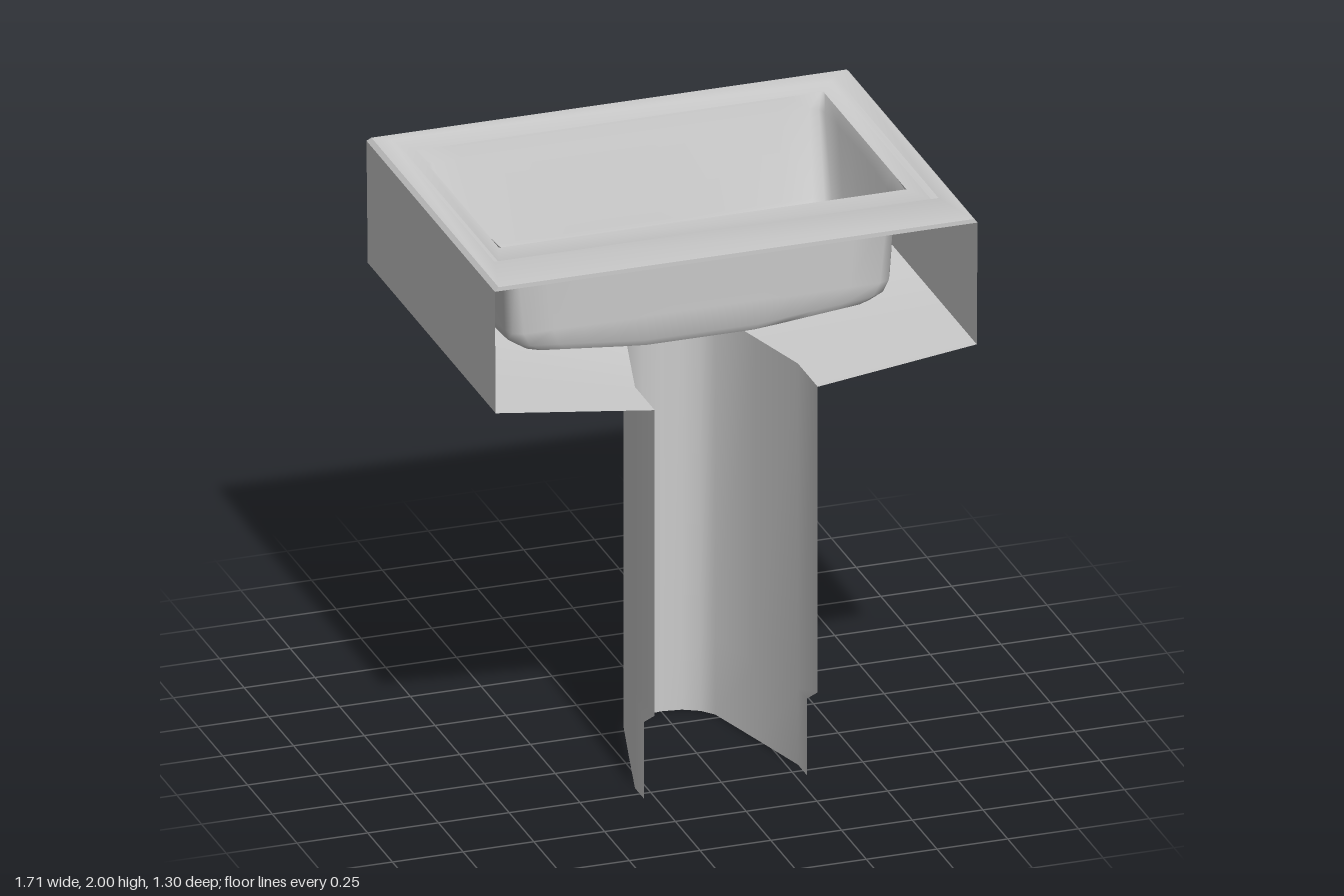
import * as THREE from 'three';
import { mergeVertices, toCreasedNormals } from 'three/addons/utils/BufferGeometryUtils.js';

const material = new THREE.MeshStandardMaterial({ color: 0xcccccc, side: THREE.DoubleSide });

// Skin a surface over rows of equally many [x, y, z] points.
function loft(name, rows, closed = false, crease = 0.7) {
  const n = rows[0].length;
  const index = [];
  for (let i = 0; i < rows.length - 1; i++) {
    for (let j = 0; j < (closed ? n : n - 1); j++) {
      const k = (j + 1) % n;
      const a = i * n + j, b = i * n + k, c = b + n, d = a + n;
      index.push(a, d, c, a, c, b);
    }
  }
  const geometry = new THREE.BufferGeometry();
  geometry.setAttribute('position', new THREE.Float32BufferAttribute(rows.flat(2), 3));
  geometry.setIndex(index);
  const mesh = new THREE.Mesh(toCreasedNormals(mergeVertices(geometry), crease), material);
  mesh.name = name;
  return mesh;
}

// Mirror a half path, given from the +x end to the centre, into a full path.
function mirror(half) {
  const left = half.map(([x, y, z]) => [-x, y, z]);
  return [...left, ...half.slice(0, -1).reverse()];
}

// Rectangular ring at height y.
const rect = (w, back, front, y) => [[-w, y, front], [-w, y, back], [w, y, back], [w, y, front]];

// Rounded ring: back and front half widths, z limits, corner radius, bulging sides.
function bowlRing(wBack, wFront, back, front, r, height) {
  const half = [];
  const mid = (back + front) / 2;
  for (let i = 0; i <= 6; i++) half.push([(wFront - r) * i / 6, front]);
  half.push([wFront - r * 0.3, front - r * 0.3]);
  for (let i = 0; i <= 6; i++) {
    const t = i / 6;
    const z = THREE.MathUtils.lerp(front - r, back + r, t);
    half.push([THREE.MathUtils.lerp(wFront, wBack, t) + 0.012 * Math.sin(Math.PI * t), z]);
  }
  half.push([wBack - r * 0.3, back + r * 0.3]);
  for (let i = 6; i >= 0; i--) half.push([(wBack - r) * i / 6, back]);
  const left = half.map(([x, z]) => [-x, z]);
  const right = half.slice(1, -1).reverse();
  return [...left, ...right].map(([x, z]) => [x, height(x, z, mid), z]);
}

export function createModel() {
  const group = new THREE.Group();
  group.name = 'pedestalBasin';

  // Outer walls on the sides and the back, open towards +z
  group.add(loft('outerWalls', [rect(0.85, -0.645, 0.65, 1.54), rect(0.853, -0.65, 0.65, 1.985)]));

  // Top rim with a bevelled outer edge, and a flat deck along the open side
  group.add(loft('rim', [
    rect(0.853, -0.65, 0.65, 1.985),
    rect(0.84, -0.637, 0.65, 2),
    rect(0.785, -0.6, 0.45, 2),
    rect(0.765, -0.58, 0.435, 1.99),
    rect(0.72, -0.53, 0.31, 1.982),
  ], true));

  // Bowl: lip, sloping walls, fillet and a gently sagging floor
  const level = (y) => () => y;
  const floorY = (x) => 1.537 + 0.1 * Math.max(0, Math.abs(x) - 0.2);
  const rows = [
    bowlRing(0.725, 0.715, -0.535, 0.312, 0.01, level(1.982)),
    bowlRing(0.708, 0.695, -0.52, 0.308, 0.04, level(1.93)),
    bowlRing(0.695, 0.68, -0.42, 0.304, 0.05, level(1.65)),
    bowlRing(0.675, 0.665, -0.4, 0.3, 0.06, (x) => floorY(x) + 0.025),
  ];
  const base = bowlRing(0.64, 0.625, -0.37, 0.285, 0.06, floorY);
  for (const s of [1, 0.7, 0.35, 0.01]) {
    rows.push(base.map(([x, , z]) => [x * s, floorY(x * s), -0.04 + (z + 0.04) * s]));
  }
  group.add(loft('bowl', rows, true, 1));

  // Pedestal: U-shaped channel, cut back at the foot of its open side
  const section = (y, end) => mirror([
    [0.288, y, end], [0.288, y, 0.45], [0.225, y, 0.21], [0.162, y, -0.025],
    [0.125, y, -0.07], [0.07, y, -0.1], [0, y, -0.11],
  ]);
  group.add(loft('pedestal', [
    section(0, 0.54), section(0.28, 0.54), section(0.35, 0.65), section(1.468, 0.65),
  ]));

  // Underside: slopes up from the pedestal, then runs flat to the walls
  const slopeTop = mirror([
    [0.85, 1.54, 0.65], [0.85, 1.54, 0.35], [0.85, 1.54, 0], [0.27, 1.538, -0.22],
    [0.2, 1.538, -0.23], [0.1, 1.538, -0.23], [0, 1.538, -0.23],
  ]);
  const outer = mirror([
    [0.85, 1.54, 0.65], [0.85, 1.54, 0.35], [0.85, 1.54, 0], [0.85, 1.54, -0.645],
    [0.5, 1.54, -0.645], [0.2, 1.54, -0.645], [0, 1.54, -0.645],
  ]);
  group.add(loft('underside', [section(1.468, 0.65), slopeTop, outer], false, 0.9));

  return group;
}
